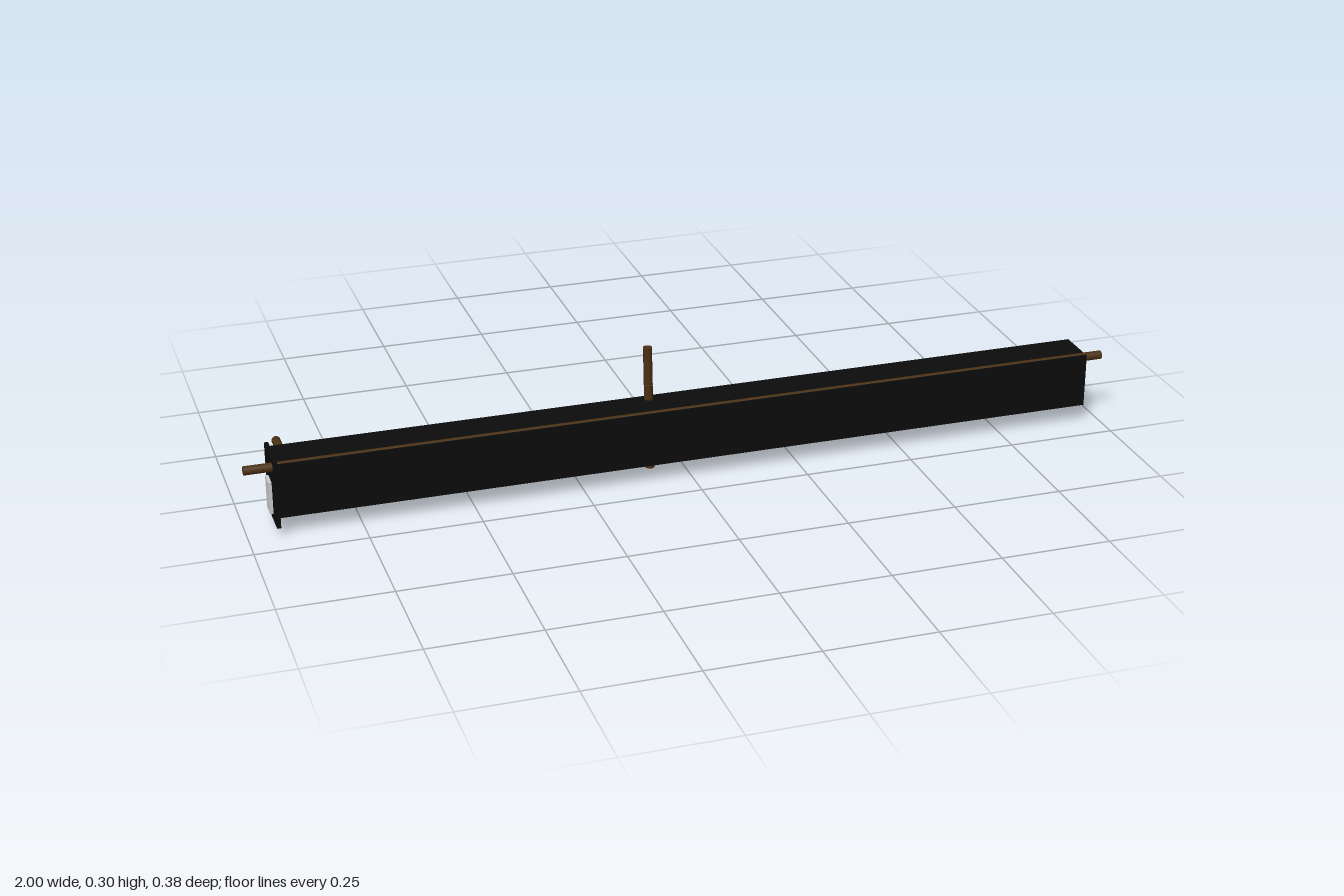
import * as THREE from 'three';

const dark = new THREE.MeshStandardMaterial({ color: 0x0b0b0b, side: THREE.DoubleSide });
const cane = new THREE.MeshStandardMaterial({ color: 0x4a3013 });
const pale = new THREE.MeshStandardMaterial({ color: 0xcccccc });

// Box given by its low and high corners
function slab(name, lo, hi, material) {
  const size = hi.map((h, i) => h - lo[i]);
  const mesh = new THREE.Mesh(new THREE.BoxGeometry(...size), material);
  mesh.position.set(...hi.map((h, i) => (h + lo[i]) / 2));
  mesh.name = name;
  return mesh;
}

// Cane pole between two points, with thin raised nodes at distances along it
function pole(name, from, to, nodes) {
  const a = new THREE.Vector3(...from);
  const dir = new THREE.Vector3(...to).sub(a);
  const length = dir.length();
  const group = new THREE.Group();
  group.name = name;
  const shaft = new THREE.Mesh(new THREE.CylinderGeometry(0.01, 0.01, length, 20), cane);
  shaft.position.y = length / 2;
  shaft.name = name + 'Shaft';
  group.add(shaft);
  for (const d of nodes) {
    const node = new THREE.Mesh(new THREE.TorusGeometry(0.0095, 0.0015, 6, 20), cane);
    node.rotation.x = Math.PI / 2;
    node.position.y = d;
    node.name = name + 'Node';
    group.add(node);
  }
  group.position.copy(a);
  group.quaternion.setFromUnitVectors(new THREE.Vector3(0, 1, 0), dir.normalize());
  return group;
}

export function createModel() {
  const model = new THREE.Group();
  model.name = 'boxedPoles';

  // Long thin-walled casing, open at the left end
  const x0 = -0.93, x1 = 0.96, y0 = 0.043, y1 = 0.169, z0 = 0.085, z1 = 0.184, t = 0.003;
  model.add(
    slab('casingTop', [x0, y1 - t, z0], [x1, y1, z1], dark),
    slab('casingBottom', [x0, y0, z0], [x1, y0 + t, z1], dark),
    slab('casingBack', [x0, y0 + t, z0], [x1, y1 - t, z0 + t], dark),
    slab('casingFront', [x0, y0 + t, z1 - t], [x1, y1 - t, z1], dark)
  );

  // Wider end plate with a pale panel set into it
  model.add(
    slab('endPlate', [-0.938, 0.022, 0.083], [-0.929, 0.178, 0.19], dark),
    slab('endPanel', [-0.945, 0.04, 0.114], [-0.928, 0.115, 0.154], pale)
  );

  // Two lengthwise poles, one upright and one reaching back
  const evenly = (start, end) => {
    const list = [];
    for (let d = start; d < end; d += 0.288) list.push(d);
    return list;
  };
  model.add(
    pole('upperLongPole', [-1, 0.161, 0.173], [1, 0.161, 0.173],
      [...evenly(0.2, 1.9), ...evenly(0.37, 1.9)]),
    pole('lowerLongPole', [-0.87, 0.05, 0.103], [0.9, 0.05, 0.103], evenly(0.2, 1.75)),
    pole('uprightPole', [-0.075, 0, 0.103], [-0.08, 0.295, 0.103], [0.045, 0.165, 0.205]),
    pole('rearPole', [-0.87, 0.05, 0.1], [-0.87, 0.05, -0.19], [0.095, 0.2])
  );
  return model;
}
